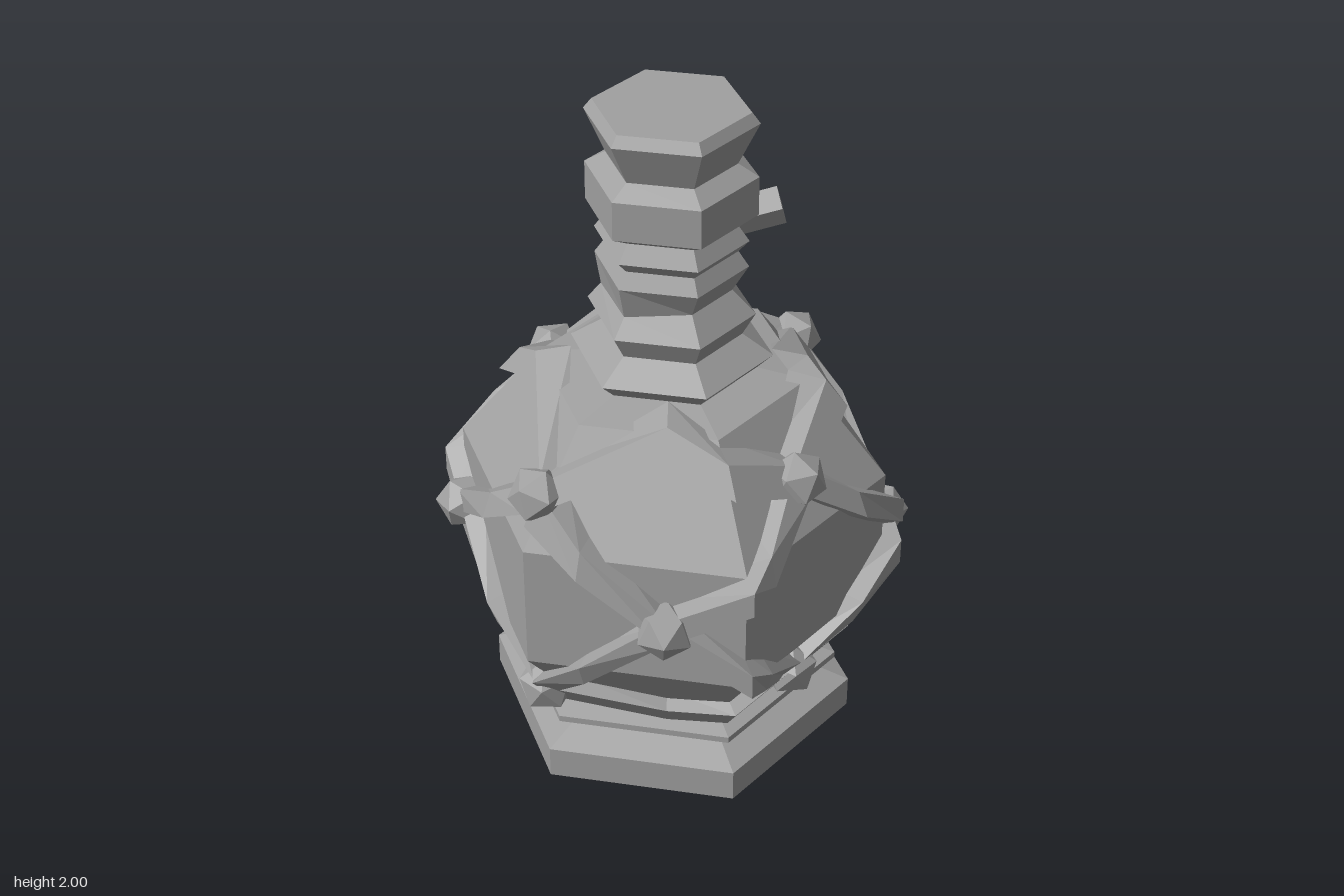
import * as THREE from 'three';

const RAD = Math.PI / 180;
const stone = new THREE.MeshStandardMaterial({ color: 0xa0a0a0, flatShading: true });
stone.name = 'grey stone';

// Corner radius and height pairs, from bottom to top
const BASE = [[0, 0], [0.545, 0], [0.545, 0.1], [0.44, 0.14], [0.5, 0.18], [0.5, 0.2], [0.4, 0.23]];
const BODY = [[0.41, 0.22], [0.62, 0.49], [0.62, 0.88], [0.385, 1.18]];
const NECK = [
  [0.24, 1.2], [0.288, 1.25], [0.2, 1.31], [0.237, 1.38], [0.17, 1.45], [0.215, 1.53], [0.185, 1.575],
  [0.215, 1.61], [0.18, 1.66], [0.238, 1.695], [0.238, 1.81], [0.18, 1.845], [0.238, 1.97], [0.215, 2], [0, 2],
];

function add(group, geometry, name) {
  const flat = geometry.index ? geometry.toNonIndexed() : geometry;
  flat.computeVertexNormals();
  const mesh = new THREE.Mesh(flat, stone);
  mesh.name = name;
  group.add(mesh);
  return mesh;
}

// Six-sided turned shape with corners on the x axis
function hexLathe(profile) {
  const points = profile.map(([r, y]) => new THREE.Vector2(r, y));
  return new THREE.LatheGeometry(points, 6, Math.PI / 6);
}

// Corner radius of the body at a height, carried on past both ends
function bodyRadius(y) {
  let i = 0;
  while (i < BODY.length - 2 && y > BODY[i + 1][1]) i++;
  const [r0, y0] = BODY[i], [r1, y1] = BODY[i + 1];
  return r0 + (r1 - r0) * (y - y0) / (y1 - y0);
}

// Point on the hexagonal body, pushed outwards by an offset
function onBody(deg, y, offset) {
  const turn = ((deg % 60) + 60) % 60 - 30;
  const r = (bodyRadius(y) * Math.cos(30 * RAD) + offset) / Math.cos(turn * RAD);
  return new THREE.Vector3(r * Math.cos(deg * RAD), y, r * Math.sin(deg * RAD));
}

// Raised strap following the body from one angle and height to another
function strapGeometry(a0, y0, a1, y1) {
  if (a0 > a1) [a0, y0, a1, y1] = [a1, y1, a0, y0];
  const stops = [0, 1];
  for (let c = Math.ceil(a0 / 60) * 60; c < a1; c += 60) stops.push((c - a0) / (a1 - a0));
  for (const y of [0.49, 0.88]) {
    const t = (y - y0) / (y1 - y0);
    if (t > 0 && t < 1) stops.push(t);
  }
  stops.sort((a, b) => a - b);
  const section = [[-0.06, -0.03], [-0.04, 0.05], [0.04, 0.05], [0.06, -0.03]];
  const positions = [], index = [];
  stops.forEach((t, i) => {
    const deg = a0 + (a1 - a0) * t, y = y0 + (y1 - y0) * t;
    section.forEach(([dy, offset], j) => {
      positions.push(...onBody(deg, y + dy, offset).toArray());
      if (i < stops.length - 1 && j < 3) {
        const a = i * 4 + j;
        index.push(a, a + 1, a + 5, a, a + 5, a + 4);
      }
    });
  });
  const geometry = new THREE.BufferGeometry();
  geometry.setAttribute('position', new THREE.Float32BufferAttribute(positions, 3));
  geometry.setIndex(index);
  return geometry;
}

export function createModel() {
  const model = new THREE.Group();
  model.name = 'bottle';

  add(model, hexLathe(BASE), 'base');
  add(model, hexLathe([[0, 0.22], ...BODY, [0.2, 1.21]]), 'body');

  // Neck, with the middle groove filled in on one side
  const neck = hexLathe(NECK);
  const p = neck.attributes.position;
  for (let i = 0; i < p.count; i++) {
    if (Math.abs(p.getY(i) - 1.45) < 0.001 && p.getX(i) < -0.01) {
      p.setXYZ(i, p.getX(i) * 1.17, 1.43, p.getZ(i) * 1.1);
    }
  }
  add(model, neck, 'neck');

  // Small stub on the neck
  const stub = add(model, new THREE.BoxGeometry(0.13, 0.075, 0.075), 'neckStub');
  stub.position.set(0.225, 1.66, -0.08);
  stub.rotation.set(0.5, 0.35, 0.1);

  // Lattice of straps and studs, repeated on four sides
  const lattice = new THREE.Group();
  lattice.name = 'lattice';
  model.add(lattice);
  const golden = (1 + Math.sqrt(5)) / 2;
  const tip = new THREE.Vector3(0, 1, golden).normalize();
  const stud = (deg, y, tilt, name) => {
    const mesh = add(lattice, new THREE.IcosahedronGeometry(0.085, 0), name);
    mesh.position.copy(onBody(deg, y, 0.03));
    const out = new THREE.Vector3(Math.cos(deg * RAD), tilt, Math.sin(deg * RAD)).normalize();
    mesh.quaternion.setFromUnitVectors(tip, out);
  };
  for (let k = 0; k < 4; k++) {
    const side = 32 + 90 * k, mid = 76 + 5 + 90 * k;
    stud(side, 1.02, 0.7, 'upperStud');
    stud(mid, 0.69, 0, 'middleStud');
    stud(side, 0.34, -0.7, 'lowerStud');
    for (const m of [mid, mid - 90]) {
      add(lattice, strapGeometry(side, 1.02, m, 1.18), 'shoulderStrap');
      add(lattice, strapGeometry(side, 1.02, m, 0.69), 'upperStrap');
      add(lattice, strapGeometry(side, 0.34, m, 0.69), 'lowerStrap');
      add(lattice, strapGeometry(side, 0.34, m, 0.25), 'footStrap');
    }
  }
  return model;
}
